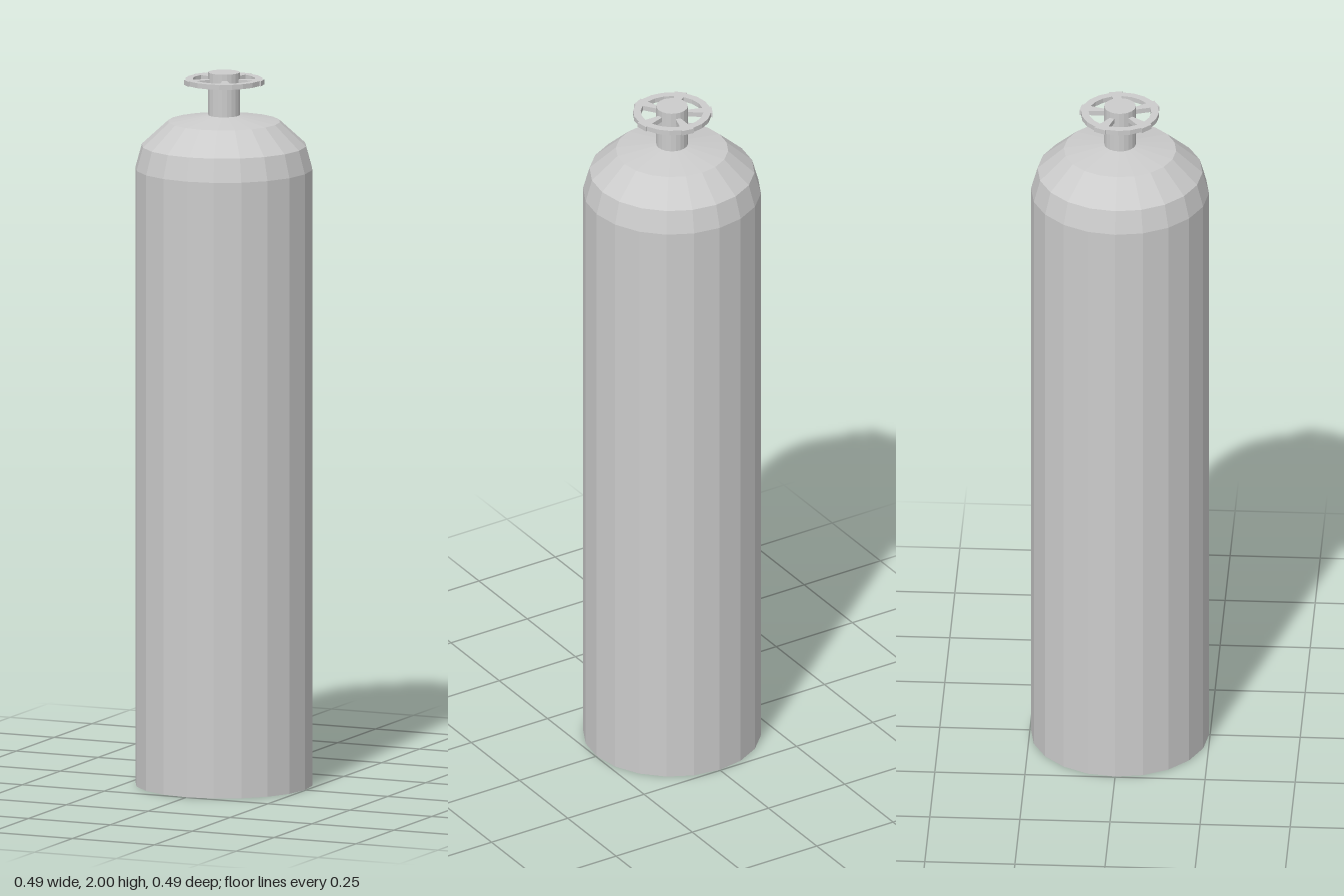
import * as THREE from 'three';

const SIDES = 20;
const material = new THREE.MeshStandardMaterial({ color: 0xcccccc, flatShading: true });

function lathe(name, profile) {
  const points = profile.map(([r, y]) => new THREE.Vector2(r, y));
  const mesh = new THREE.Mesh(new THREE.LatheGeometry(points, SIDES), material);
  mesh.name = name;
  return mesh;
}

// Point on a circle at a whole number of segments
function at(step, radius) {
  const a = (step / SIDES) * Math.PI * 2;
  return new THREE.Vector2(Math.cos(a) * radius, Math.sin(a) * radius);
}

function handWheel() {
  // Rim outline: every fourth segment carries a spoke that pokes out slightly
  const outline = [];
  for (let i = 0; i < SIDES; i++) {
    const r = i % 4 === 0 ? 0.113 : 0.108;
    outline.push(at(i, r), at(i + 1, r));
  }
  const shape = new THREE.Shape(outline);

  // Five windows between the spokes
  for (let k = 0; k < 5; k++) {
    const hole = [];
    for (let j = 1; j <= 4; j++) hole.push(at(k * 4 + j, 0.087));
    for (let j = 4; j >= 1; j--) hole.push(at(k * 4 + j, 0.042));
    shape.holes.push(new THREE.Path(hole));
  }
  const geometry = new THREE.ExtrudeGeometry(shape, { depth: 0.014, bevelEnabled: false });
  geometry.rotateX(-Math.PI / 2);
  const mesh = new THREE.Mesh(geometry, material);
  mesh.position.y = 1.968;
  mesh.name = 'handWheel';
  return mesh;
}

export function createModel() {
  const group = new THREE.Group();
  group.name = 'gasCylinder';

  // Tank with faceted shoulder and shallow cone top
  group.add(lathe('tank', [
    [0, 0], [0.247, 0], [0.247, 1.73], [0.229, 1.795], [0.156, 1.862], [0.044, 1.88], [0, 1.88],
  ]));

  // Valve stem
  group.add(lathe('valveStem', [[0, 1.87], [0.044, 1.87], [0.044, 2], [0, 2]]));

  group.add(handWheel());
  return group;
}
